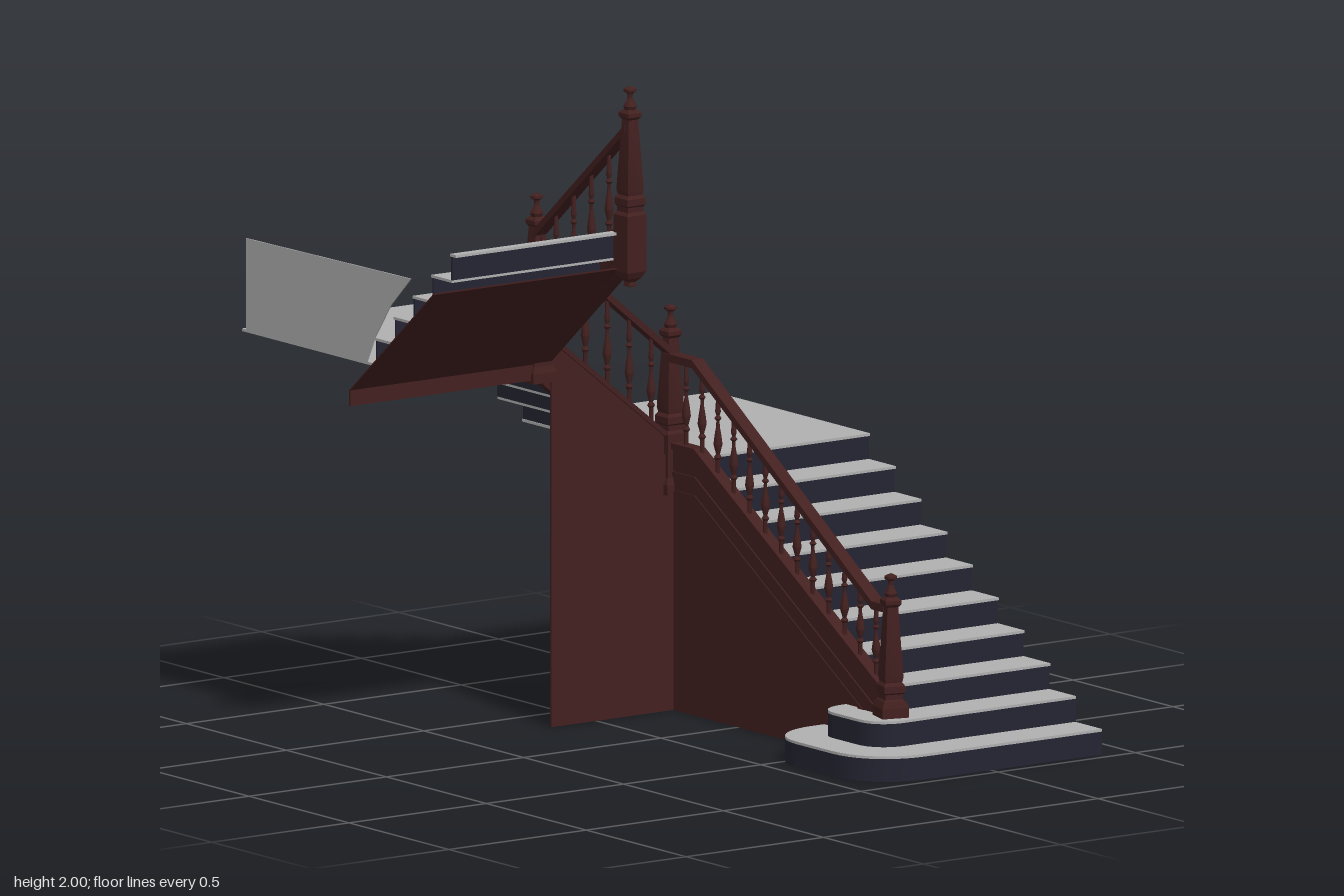
import * as THREE from 'three';
import { toCreasedNormals } from 'three/addons/utils/BufferGeometryUtils.js';

const mat = (name, color) => new THREE.MeshStandardMaterial({ name, color, side: THREE.DoubleSide });

export function createModel() {
  const wood = mat('dark red wood', 0x42201f);
  const stone = mat('grey tread', 0xb0b0b0);
  const navy = mat('navy riser', 0x232431);
  const root = new THREE.Group();
  root.name = 'staircase';

  const add = (name, geo, material, parent = root) => {
    const m = new THREE.Mesh(geo, material);
    m.name = name;
    parent.add(m);
    return m;
  };
  // box given by its limits
  const box = (name, x0, x1, y0, y1, z0, z1, material) =>
    add(name, new THREE.BoxGeometry(x1 - x0, y1 - y0, z1 - z0), material)
      .position.set((x0 + x1) / 2, (y0 + y1) / 2, (z0 + z1) / 2);
  // upright board: outline in (run, y), running along x or z, centred on 'at'
  const board = (name, axis, at, thick, pts, material = wood) => {
    const shape = new THREE.Shape(pts.map(p => new THREE.Vector2(...p)));
    const g = new THREE.ExtrudeGeometry(shape, { depth: thick, bevelEnabled: false });
    g.translate(0, 0, -thick / 2);
    if (axis === 'z') g.rotateY(-Math.PI / 2);
    const m = add(name, g, material);
    m.position[axis === 'z' ? 'x' : 'z'] = at;
  };
  // band of constant height along a polyline
  const band = (name, axis, at, thick, line, drop) =>
    board(name, axis, at, thick, [...line, ...[...line].reverse().map(([u, y]) => [u, y - drop])]);

  const H = 0.078, T = 0.008;
  const tread = (x0, x1, y, z0, z1, name = 'tread') => box(name, x0, x1, y - T, y, z0, z1, stone);

  // lower flight, climbing towards the back
  const zs = i => 0.97 - i * 0.129;
  for (let i = 2; i < 10; i++) {
    box('riser', 0.3, 0.9, i * H, (i + 1) * H - T, zs(i) - 0.012, zs(i) - 0.006, navy);
    if (i < 9) tread(0.29, 0.9, (i + 1) * H, zs(i + 1) - 0.01, zs(i));
  }

  // two rounded starting steps
  const startStep = (left, front, back, y, r, inner) => {
    const s = new THREE.Shape();
    s.moveTo(0.9, -front);
    s.lineTo(left + r, -front);
    s.bezierCurveTo(left + r * 0.4, -front, left, -front + r * 0.4, left, -front + r);
    s.lineTo(left, -back - r * 0.8);
    s.bezierCurveTo(left, -back - r * 0.35, left + r * 0.35, -back, left + r * 0.9, -back);
    s.lineTo(0.29, -back);
    const edge = s.getPoints(10);
    s.lineTo(0.29, -inner);
    s.lineTo(0.9, -inner);
    const top = new THREE.ExtrudeGeometry(s, { depth: T, bevelEnabled: false, curveSegments: 10 });
    top.rotateX(-Math.PI / 2);
    add('startingTread', top, stone).position.y = y - T;
    // riser strip following the rounded edge
    const pos = [], idx = [];
    edge.forEach((p, k) => {
      pos.push(p.x + 0.003, y - H, -p.y - 0.004, p.x + 0.003, y - T, -p.y - 0.004);
      if (k) idx.push(2 * k - 2, 2 * k - 1, 2 * k, 2 * k, 2 * k - 1, 2 * k + 1);
    });
    const g = new THREE.BufferGeometry();
    g.setAttribute('position', new THREE.Float32BufferAttribute(pos, 3));
    g.setIndex(idx);
    g.computeVertexNormals();
    add('startingRiser', g, navy);
  };
  startStep(0.06, 0.97, 0.43, H, 0.2, 0.71);
  startStep(0.175, 0.84, 0.54, 2 * H, 0.1, 0.58);

  // first landing
  tread(0.29, 0.9, 10 * H, -0.345, -0.19, 'lowerLanding');
  tread(0.2, 0.9, 10 * H, -0.97, -0.345, 'lowerLanding');

  // middle flight, climbing towards -x
  const xs = i => 0.215 - i * 0.094;
  for (let i = 0; i < 5; i++) {
    const y = (10 + i) * H;
    box('riser', xs(i) - 0.012, xs(i) - 0.006, y, y + H - T, -0.97, -0.345, i === 3 ? stone : navy);
    if (i < 4) tread(xs(i + 1) - 0.01, xs(i), y + H, -0.97, -0.345);
  }

  // second landing with its side panel
  tread(-0.82, -0.16, 15 * H, -0.97, -0.305, 'upperLanding');
  board('sidePanel', 'z', -0.822, 0.004,
    [[-0.945, 1.17], [-0.945, 1.445], [-0.12, 1.455], [-0.22, 1.36], [-0.3, 1.25], [-0.34, 1.17]], stone);

  // upper flight, climbing towards the front
  const zu = i => -0.305 + i * 0.094;
  for (let i = 0; i < 5; i++) {
    const y = (15 + i) * H;
    box('riser', -0.82, -0.2, y, y + H - T, zu(i) + 0.006, zu(i) + 0.012, navy);
    tread(-0.82, -0.2, y + H, zu(i), i < 4 ? zu(i + 1) + 0.01 : 0.1);
  }

  // sloping soffit and beam beneath the upper flight
  board('soffit', 'z', -0.535, 0.73, [[-0.32, 1.095], [0.1, 1.45], [0.1, 1.455], [-0.32, 1.1]]);
  box('soffitBeam', -0.9, -0.17, 1.05, 1.1, -0.325, -0.317, wood);

  // walls under the lower and middle flights
  board('lowerWall', 'z', 0.285, 0.008, [[0.735, 0], [-0.33, 0], [-0.33, 0.7], [-0.2, 0.7], [0.735, 0.13]]);
  board('middleWall', 'x', -0.328, 0.008, [[-0.163, 0], [0.289, 0], [0.289, 0.74], [-0.163, 1.1]]);

  // stringers with mouldings along both edges, and handrails
  const runs = [
    { axis: 'z', at: 0.285, line: [[0.735, 0.24], [-0.2, 0.805], [-0.33, 0.805]], depth: 0.155,
      rail: [[0.75, 0.49], [0.69, 0.49], [-0.21, 1.07], [-0.34, 1.07]] },
    { axis: 'x', at: -0.345, line: [[-0.19, 1.2], [0.28, 0.82]], depth: 0.17,
      rail: [[-0.2, 1.485], [0.28, 1.085]] },
    { axis: 'z', at: -0.2, line: [[0.12, 1.61], [-0.34, 1.225]], depth: 0.145,
      rail: [[0.12, 1.885], [-0.34, 1.495]] },
  ];
  const shift = (line, d) => line.map(([u, y]) => [u, y + d]);
  for (const r of runs) {
    band('stringer', r.axis, r.at, 0.028, r.line, r.depth);
    band('stringerCap', r.axis, r.at, 0.042, r.line, 0.018);
    band('stringerMoulding', r.axis, r.at, 0.036, shift(r.line, -r.depth * 0.55), 0.014);
    band('stringerFoot', r.axis, r.at, 0.034, shift(r.line, -r.depth + 0.014), 0.014);
    band('handrail', r.axis, r.at, 0.042, r.rail, 0.024);
  }

  // turned balusters
  const lathe = (pts, n) => new THREE.LatheGeometry(pts.map(p => new THREE.Vector2(...p)), n);
  const turned = toCreasedNormals(lathe([[0.007, 0], [0.007, 0.05], [0.012, 0.058], [0.006, 0.068], [0.009, 0.08],
    [0.014, 0.1], [0.011, 0.125], [0.006, 0.155], [0.005, 0.175], [0.011, 0.183], [0.005, 0.192],
    [0.009, 0.205], [0.007, 0.225], [0.006, 0.27]], 10), 0.7);
  const heightAt = (line, u) => {
    for (let k = 1; k < line.length; k++) {
      const [a, b] = [line[k - 1], line[k]];
      if ((u - a[0]) * (u - b[0]) <= 0) return a[1] + (b[1] - a[1]) * (u - a[0]) / (b[0] - a[0]);
    }
    return line[0][1];
  };
  const row = (r, n, u0, u1) => {
    for (let i = 0; i < n; i++) {
      const u = u0 + (u1 - u0) * i / (n - 1);
      const y = heightAt(r.line, u) - 0.01, top = heightAt(r.rail, u) - 0.012;
      const b = add('baluster', turned, wood);
      b.scale.y = (top - y) / 0.27;
      if (r.axis === 'z') b.position.set(r.at, y, u);
      else b.position.set(u, y, r.at);
    }
  };
  row(runs[0], 13, 0.685, -0.265);
  row(runs[1], 5, -0.105, 0.215);
  row(runs[2], 4, 0.015, -0.25);

  // square tapered newel posts with turned finials
  const square = pts => {
    const g = lathe(pts.map(([h, y]) => [h * Math.SQRT2, y]), 4);
    g.rotateY(Math.PI / 4);
    return toCreasedNormals(g, 0.3);
  };
  const newel = (x, z, bottom, top, turn, drop) => {
    const g = new THREE.Group();
    g.name = 'newelPost';
    g.position.set(x, top, z);
    g.rotation.y = turn;
    root.add(g);
    const b = bottom - top;
    const foot = drop ? [[0, b], [0.014, b + 0.005], [0.012, b + 0.018], [0.024, b + 0.03], [0.034, b + 0.05]]
      : [[0, b], [0.042, b], [0.042, b + 0.03]];
    add('newelBody', square([...foot, [0.035, b + 0.05], [0.035, -0.385], [0.028, -0.375], [0.028, -0.36],
      [0.033, -0.355], [0.033, -0.335], [0.026, -0.325], [0.029, -0.31], [0.017, -0.1],
      [0.024, -0.092], [0.024, -0.08], [0.015, -0.07], [0, -0.068]]), wood, g);
    add('newelFinial', toCreasedNormals(lathe([[0.016, -0.072], [0.02, -0.06], [0.012, -0.045], [0.007, -0.035],
      [0.009, -0.022], [0.019, -0.016], [0.019, -0.009], [0.01, -0.004], [0, 0]], 12), 0.6), wood, g);
  };
  newel(0.28, 0.765, 0.155, 0.585, -0.26, false);
  newel(0.287, -0.347, 0.65, 1.215, 0, false);
  newel(-0.2, -0.347, 1.04, 1.605, 0, false);
  newel(-0.2, 0.12, 1.395, 2, 0, true);

  return root;
}
